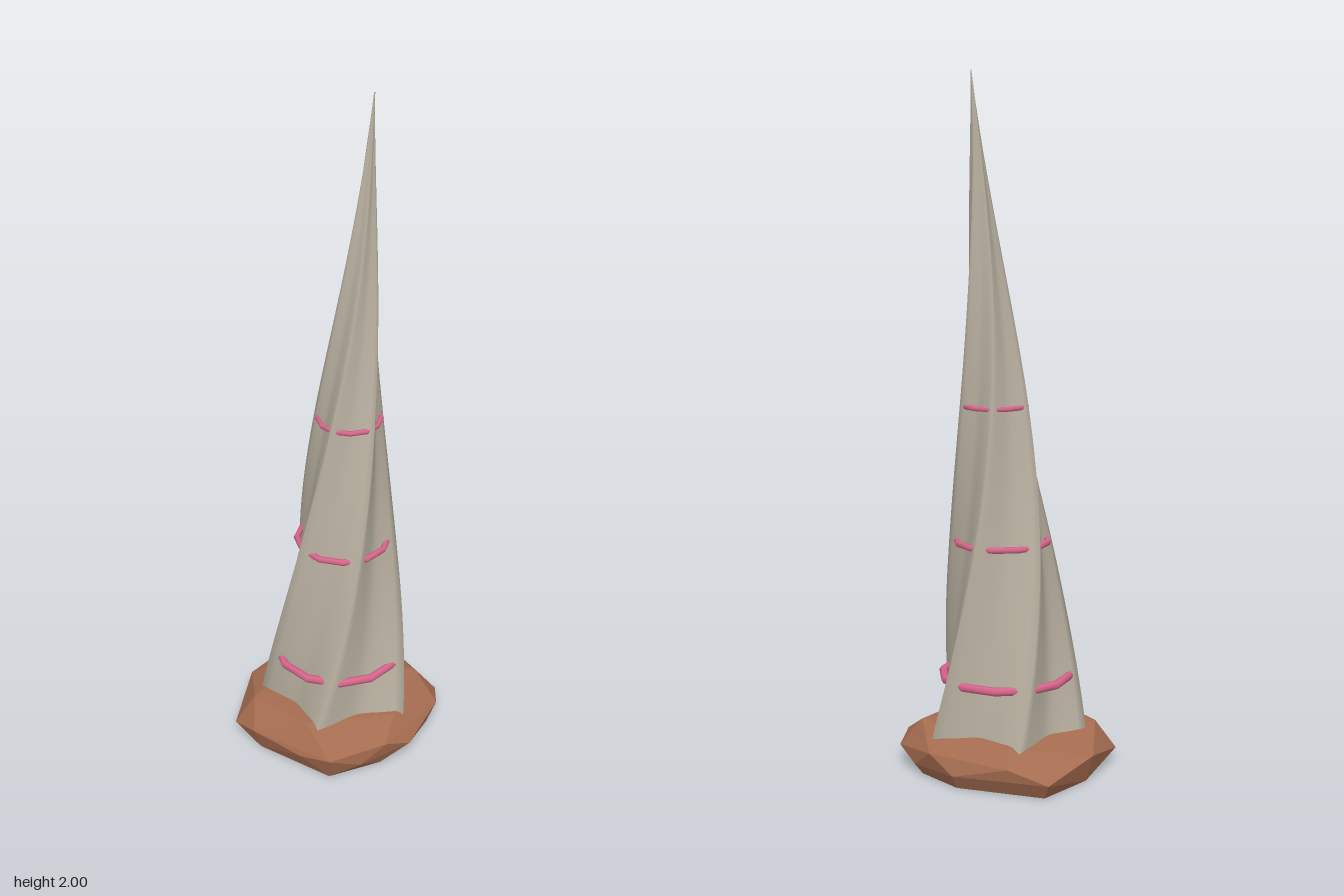
import * as THREE from 'three';
import { ConvexGeometry } from 'three/addons/geometries/ConvexGeometry.js';

const stone = new THREE.MeshStandardMaterial({ color: 0xb8b0a0 });
stone.name = 'pale horn';
const clay = new THREE.MeshStandardMaterial({ color: 0xa56c50 });
clay.name = 'brown rock';
const pink = new THREE.MeshStandardMaterial({ color: 0xd9668c });
pink.name = 'pink band';

// Leaning centre line of the spire
const spine = new THREE.CatmullRomCurve3([
  [0.008, 0.05, 0.02], [0.01, 0.37, 0.026], [0.016, 0.7, 0.031], [0.035, 1.06, 0.033],
  [0.07, 1.52, 0.033], [0.105, 2, 0.032],
].map((p) => new THREE.Vector3(...p)));

// Five-ridged star section that shrinks and twists with height
function createSpire() {
  const rows = 48, sides = 60, lobe = (Math.PI * 2) / 5;
  const pos = [], index = [];
  for (let i = 0; i <= rows; i++) {
    const c = spine.getPoint(i / rows);
    const s = Math.min(1, (c.y - 0.12) / 1.88);
    const R = 0.0015 + 0.235 * Math.pow(1 - s, 1.2);
    const twist = THREE.MathUtils.degToRad(72 - 61 * c.y);
    for (let j = 0; j < sides; j++) {
      const a = (j / sides) * Math.PI * 2;
      const u = Math.abs(a / lobe - Math.round(a / lobe)) * 2; // 0 on a ridge, 1 in a valley
      const r = R * (0.72 + 0.28 * Math.pow(1 - u, 1.8));
      pos.push(c.x + r * Math.cos(a + twist), c.y, c.z + r * Math.sin(a + twist));
      if (i < rows) {
        const k = (j + 1) % sides;
        const p = i * sides + j, q = i * sides + k;
        index.push(p, p + sides, q, q, p + sides, q + sides);
      }
    }
  }
  const g = new THREE.BufferGeometry();
  g.setAttribute('position', new THREE.Float32BufferAttribute(pos, 3));
  g.setIndex(index);
  g.computeVertexNormals();
  return g;
}

// Faceted slab: widest outline (x, y, z), with a smaller flat foot and top
function createRock() {
  const rim = [
    [0.005, 0.045, -0.31], [0.1, 0.08, -0.24], [0.225, 0.04, -0.13], [0.27, 0.09, -0.06],
    [0.285, 0.03, 0.03], [0.3, 0.06, 0.125], [0.25, 0.08, 0.205], [0.095, 0.05, 0.295],
    [0.005, 0.09, 0.305], [-0.08, 0.04, 0.295], [-0.175, 0.08, 0.28], [-0.225, 0.06, 0.19],
    [-0.295, 0.07, 0.03], [-0.305, 0.04, -0.07], [-0.17, 0.08, -0.215],
  ];
  const pts = [];
  rim.forEach(([x, y, z], i) => {
    pts.push(new THREE.Vector3(x, y, z));
    if (i % 2 === 0) pts.push(new THREE.Vector3(x * 0.92, 0, z * 0.9));
    else pts.push(new THREE.Vector3(x * 0.8, 0.115 + 0.012 * (i % 3), z * 0.8));
  });
  pts.push(new THREE.Vector3(0, 0.145, 0.02));
  return new ConvexGeometry(pts);
}

export function createModel() {
  const model = new THREE.Group();
  const add = (name, geometry, material) => {
    const mesh = new THREE.Mesh(geometry, material);
    mesh.name = name;
    model.add(mesh);
    return mesh;
  };
  add('rockBase', createRock(), clay);
  add('twistedSpire', createSpire(), stone);

  // Bands that surface only in the valleys: centre x, y, z, radius, thickness
  [
    [0.006, 0.275, 0.025, 0.186, 0.0125],
    [0.015, 0.67, 0.031, 0.134, 0.0095],
    [0.035, 1.065, 0.033, 0.09, 0.0075],
  ].forEach(([x, y, z, r, t], i) => {
    const ring = new THREE.TorusGeometry(r, t, 6, 12).rotateX(Math.PI / 2);
    add('band' + (i + 1), ring, pink).position.set(x, y, z);
  });
  return model;
}
